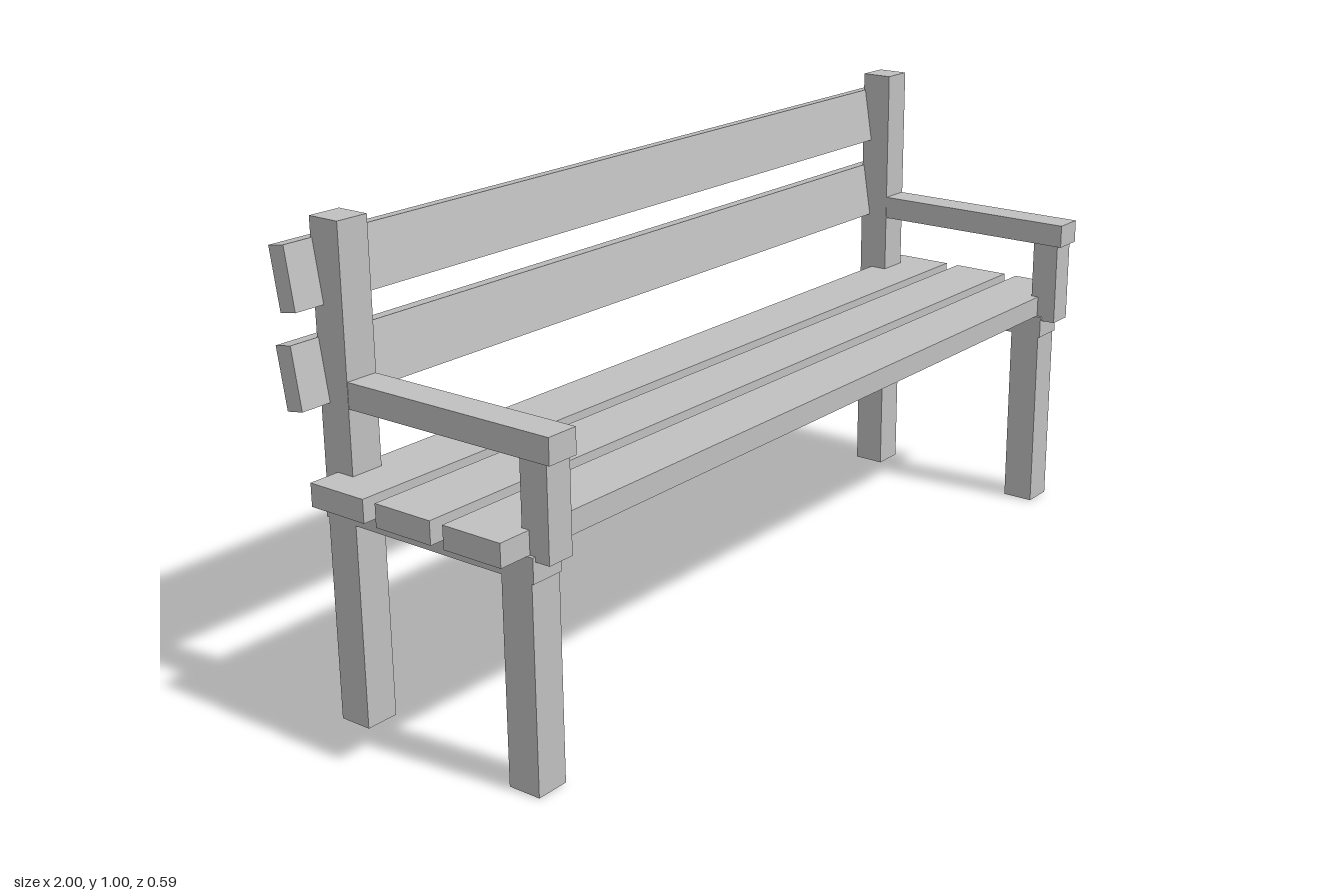
import * as THREE from 'three';

export function createModel() {
  const bench = new THREE.Group();
  bench.name = 'bench';
  const wood = new THREE.MeshStandardMaterial({ color: 0xc0c0c0, side: THREE.DoubleSide });
  wood.name = 'plain grey';

  // Box given by its x centre and width, and its y and z ranges
  function beam(name, x, width, [y0, y1], [z0, z1], openBottom = false) {
    const geometry = new THREE.BoxGeometry(width, y1 - y0, z1 - z0);
    if (openBottom) {
      // Drop the six indices of the underside
      const index = Array.from(geometry.index.array);
      index.splice(18, 6);
      geometry.setIndex(index);
      geometry.clearGroups();
    }
    const mesh = new THREE.Mesh(geometry, wood);
    mesh.name = name;
    mesh.position.set(x, (y0 + y1) / 2, (z0 + z1) / 2);
    bench.add(mesh);
    return mesh;
  }

  // End frames: legs, seat rail, armrest and its post
  for (const [side, s] of [['left', 1], ['right', -1]]) {
    const x = s * 0.897;
    beam(`${side}FrontLeg`, x, 0.072, [0, 0.425], [0.178, 0.25], true);
    beam(`${side}BackPost`, x, 0.072, [0, 1], [-0.26, -0.188], true);
    beam(`${side}SeatRail`, x, 0.074, [0.42, 0.47], [-0.265, 0.255]);
    beam(`${side}ArmPost`, x, 0.06, [0.46, 0.65], [0.225, 0.287]);
    beam(`${side}Armrest`, x, 0.07, [0.648, 0.7], [-0.195, 0.298]);
  }

  // Seat slats
  [0.174, 0.007, -0.16].forEach((z, i) => {
    beam(`seatSlat${i + 1}`, 0, 2, [0.47, 0.517], [z - 0.068, z + 0.068]);
  });

  // Back slats, leaning backwards
  [0.709, 0.896].forEach((y, i) => {
    const slat = beam(`backSlat${i + 1}`, 0, 2, [y - 0.062, y + 0.062], [-0.286, -0.246]);
    slat.rotation.x = -0.162;
  });

  return bench;
}
